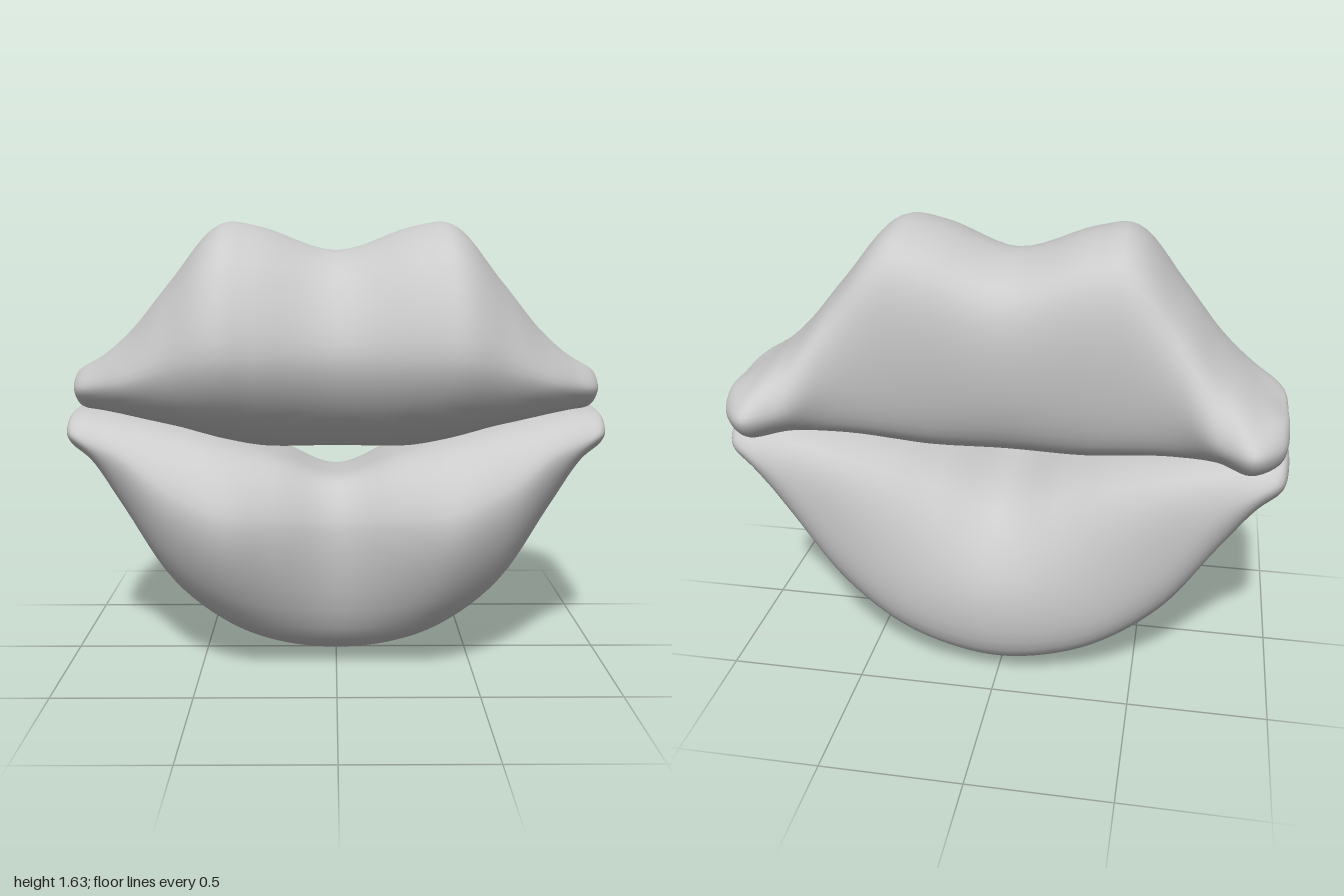
import * as THREE from 'three';
import { mergeVertices } from 'three/addons/utils/BufferGeometryUtils.js';

// Each station: [x, [z, y] x 8], going top, front, bottom, back. Mirrored to -x.
const UPPER = [
  [0.00, [0, 1.53], [.27, 1.43], [.41, 1.18], [.31, .95], [.1, .82], [-.18, .84], [-.3, 1.08], [-.28, 1.43]],
  [0.28, [0, 1.615], [.35, 1.49], [.49, 1.18], [.36, .94], [.1, .82], [-.19, .84], [-.3, 1.08], [-.28, 1.51]],
  [0.42, [0, 1.625], [.36, 1.5], [.515, 1.18], [.37, .94], [.08, .845], [-.21, .86], [-.31, 1.09], [-.28, 1.52]],
  [0.60, [-.02, 1.43], [.28, 1.34], [.42, 1.13], [.3, .95], [0, .895], [-.27, .9], [-.36, 1.1], [-.31, 1.34]],
  [0.75, [-.08, 1.25], [.16, 1.21], [.32, 1.08], [.22, .96], [-.05, .925], [-.35, .93], [-.45, 1.03], [-.37, 1.17]],
  [0.86, [-.15, 1.15], [.1, 1.13], [.21, 1.05], [.12, .96], [-.14, .94], [-.46, .945], [-.52, 1.03], [-.43, 1.1]],
  [0.95, [-.18, 1.09], [.02, 1.09], [.11, 1.03], [.03, .96], [-.17, .945], [-.38, .95], [-.43, 1.02], [-.36, 1.08]],
];
const LOWER = [
  [0.00, [.05, .72], [.25, .7], [.34, .55], [.225, .11], [-.1, 0], [-.42, .1], [-.47, .4], [-.31, .65]],
  [0.22, [.05, .8], [.3, .77], [.42, .58], [.25, .14], [-.1, .035], [-.41, .13], [-.465, .42], [-.33, .73]],
  [0.40, [.05, .86], [.33, .81], [.47, .6], [.28, .22], [-.1, .11], [-.39, .2], [-.45, .46], [-.36, .8]],
  [0.60, [0, .905], [.27, .86], [.4, .68], [.25, .37], [-.1, .26], [-.36, .35], [-.43, .6], [-.38, .86]],
  [0.78, [-.05, .94], [.2, .9], [.29, .8], [.18, .61], [-.1, .55], [-.35, .6], [-.42, .76], [-.37, .9]],
  [0.90, [-.08, .95], [.15, .92], [.22, .84], [.13, .77], [-.1, .745], [-.34, .76], [-.41, .84], [-.36, .92]],
  [0.97, [-.1, .945], [.12, .92], [.17, .87], [.1, .82], [-.1, .805], [-.32, .815], [-.37, .87], [-.33, .92]],
];

// Rounded tip: shrink the last section, then close it to a point.
function withTip(stations, tipX) {
  const [lastX, ...pts] = stations[stations.length - 1];
  const cz = pts.reduce((s, p) => s + p[0], 0) / pts.length;
  const cy = pts.reduce((s, p) => s + p[1], 0) / pts.length;
  const shrink = (x, k) => [x, ...pts.map(([z, y]) => [cz + (z - cz) * k, cy + (y - cy) * k])];
  return [...stations, shrink(lastX + (tipX - lastX) * 0.8, 0.7), shrink(tipX, 0)];
}

// Smooth closed loft through the sections, from the -x tip to the +x tip.
function lipGeometry(stations, tipX) {
  const half = withTip(stations, tipX);
  const all = [...half.slice(1).reverse().map(([x, ...p]) => [-x, ...p]), ...half];
  const rails = [];
  for (let i = 1; i <= 8; i++) {
    rails.push(new THREE.CatmullRomCurve3(
      all.map(s => new THREE.Vector3(s[0], s[i][1], s[i][0]))));
  }
  const nu = (all.length - 1) * 6, nv = 48;
  const pos = [], index = [];
  for (let u = 0; u <= nu; u++) {
    const ring = new THREE.CatmullRomCurve3(rails.map(r => r.getPoint(u / nu)), true);
    for (let v = 0; v < nv; v++) {
      const p = ring.getPoint(v / nv);
      pos.push(p.x, p.y, p.z);
      if (u === nu) continue;
      const a = u * nv + v, b = u * nv + (v + 1) % nv;
      // the first and last rings are points, so one triangle is enough there
      if (u > 0) index.push(a, b, a + nv);
      if (u < nu - 1) index.push(b, b + nv, a + nv);
    }
  }
  let geo = new THREE.BufferGeometry();
  geo.setAttribute('position', new THREE.Float32BufferAttribute(pos, 3));
  geo.setIndex(index);
  geo = mergeVertices(geo, 1e-5);
  geo.computeVertexNormals();
  return geo;
}

export function createModel() {
  const group = new THREE.Group();
  group.name = 'lips';
  const material = new THREE.MeshStandardMaterial({ color: 0xcccccc });
  for (const [name, stations, tipX] of [['upperLip', UPPER, 0.985], ['lowerLip', LOWER, 1]]) {
    const mesh = new THREE.Mesh(lipGeometry(stations, tipX), material);
    mesh.name = name;
    group.add(mesh);
  }
  return group;
}
